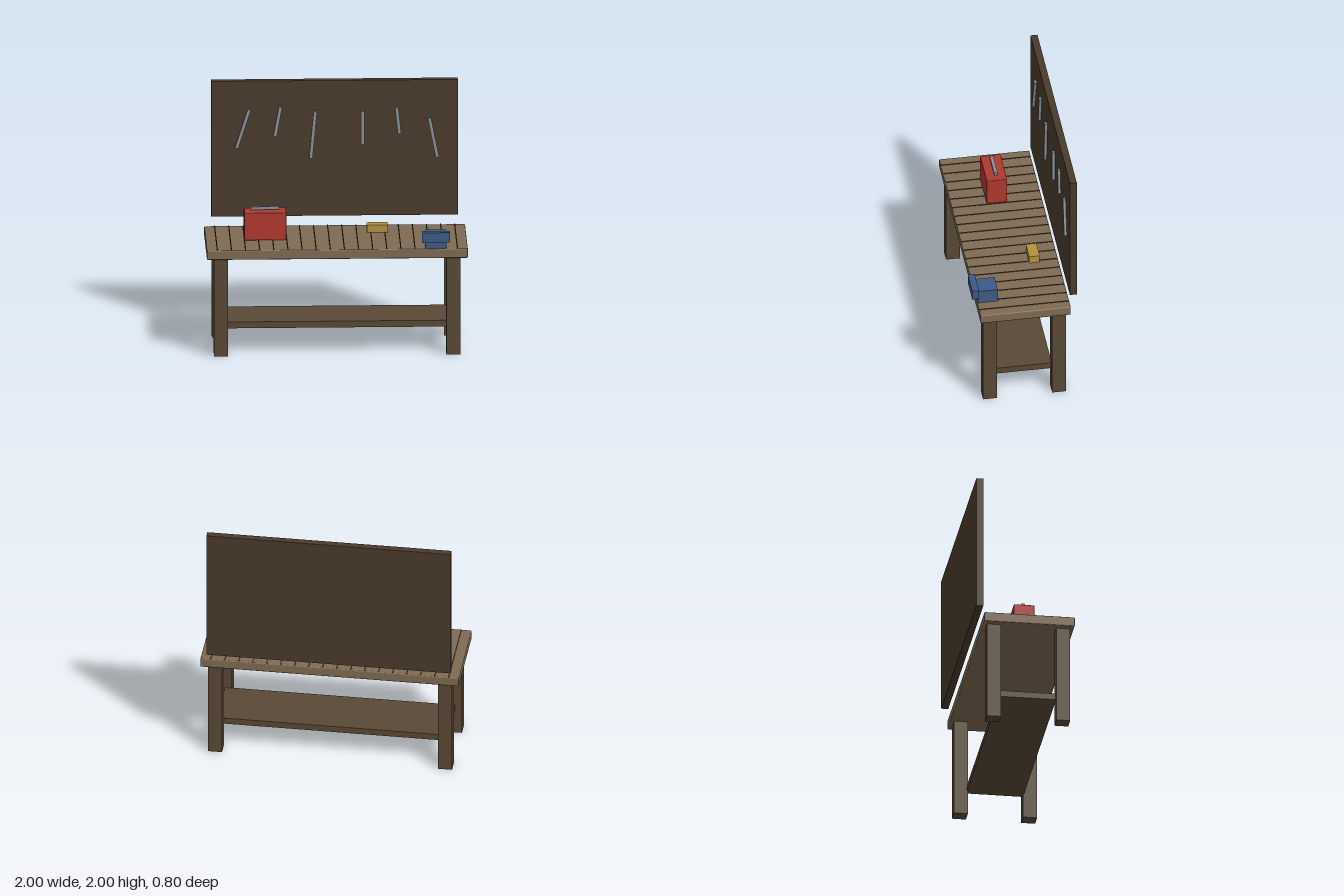
import * as THREE from 'three';
import { RoundedBoxGeometry } from 'three/addons/geometries/RoundedBoxGeometry.js';

const paint = (color) => new THREE.MeshStandardMaterial({ color });

export function createModel() {
  const model = new THREE.Group();
  model.name = 'workbench';

  const topWood = paint(0x7f6b54);
  const legWood = paint(0x5a4936);
  const boardWood = paint(0x4a3b2d);
  const grooveWood = paint(0x3a2e22);
  const red = paint(0xb0392f);
  const blue = paint(0x3f5a87);
  const yellow = paint(0xb4933f);
  const steel = paint(0x8b9299);

  // Box given by its [min, max] range on each axis, optionally with eased edges
  function box(name, material, [x0, x1], [y0, y1], [z0, z1], radius = 0) {
    const size = [x1 - x0, y1 - y0, z1 - z0];
    const geometry = radius
      ? new RoundedBoxGeometry(...size, 2, radius)
      : new THREE.BoxGeometry(...size);
    const mesh = new THREE.Mesh(geometry, material);
    mesh.name = name;
    mesh.position.set((x0 + x1) / 2, (y0 + y1) / 2, (z0 + z1) / 2);
    model.add(mesh);
    return mesh;
  }

  const midZ = 0.005;

  // Bench top with thin dark seams between its planks
  box('benchTop', topWood, [-1, 1], [0.775, 0.85], [midZ - 0.35, midZ + 0.35], 0.008);
  const seams = 18;
  for (let i = 0; i < seams; i++) {
    const x = -0.92 + (1.84 * i) / (seams - 1);
    box('plankSeam', grooveWood, [x - 0.004, x + 0.004], [0.846, 0.854], [midZ - 0.345, midZ + 0.345]);
  }

  // Four square legs and the shelf between them
  for (const x of [-0.89, 0.89]) {
    for (const z of [midZ - 0.268, midZ + 0.268]) {
      box('leg', legWood, [x - 0.054, x + 0.054], [0, 0.775], [z - 0.054, z + 0.054]);
    }
  }
  box('lowerShelf', legWood, [-0.89, 0.89], [0.195, 0.245], [midZ - 0.22, midZ + 0.22]);

  // Tool board behind the bench
  box('toolBoard', boardWood, [-0.945, 0.945], [0.925, 2], [-0.4, -0.346]);

  // Hanging tools: top x, top y, bottom x, bottom y
  const tools = [
    [-0.655, 1.775, -0.752, 1.471],
    [-0.415, 1.794, -0.457, 1.562],
    [-0.148, 1.757, -0.182, 1.387],
    [0.215, 1.757, 0.215, 1.494],
    [0.476, 1.783, 0.498, 1.574],
    [0.727, 1.698, 0.788, 1.387],
  ];
  for (const [xt, yt, xb, yb] of tools) {
    const length = Math.hypot(xt - xb, yt - yb);
    const tool = box('hangingTool', steel, [-0.013, 0.013], [0, length], [-0.346, -0.325]);
    tool.position.x = (xt + xb) / 2;
    tool.position.y = (yt + yb) / 2;
    tool.rotation.z = -Math.atan2(xt - xb, yt - yb);
  }

  // Toolbox and its handle
  box('toolbox', red, [-0.705, -0.382], [0.853, 1.07], [midZ - 0.08, midZ + 0.08], 0.006);
  box('toolboxHandle', steel, [-0.652, -0.438], [1.078, 1.102], [midZ - 0.013, midZ + 0.013]);

  // Small block lying on the bench
  box('woodBlock', yellow, [0.24, 0.402], [0.85, 0.91], [-0.2, -0.118]);

  // Vise: body on the bench, jaw over the front edge
  box('viseBody', blue, [0.675, 0.835], [0.85, 0.96], [0.195, 0.35]);
  box('viseJaw', blue, [0.648, 0.862], [0.91, 0.99], [0.345, 0.398]);

  return model;
}
